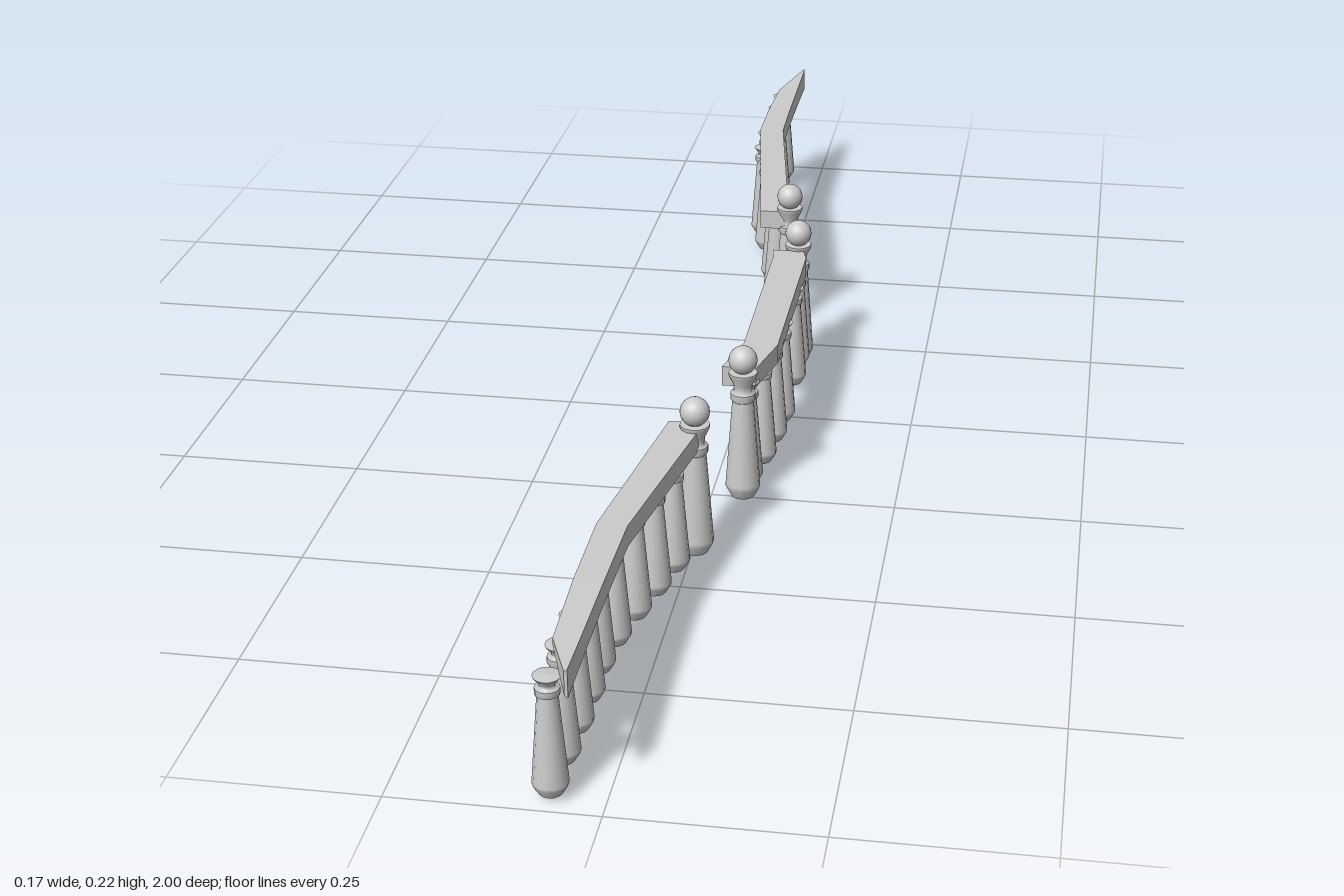
import * as THREE from 'three';

const material = new THREE.MeshStandardMaterial({ color: 0xcccccc, side: THREE.DoubleSide });
const SIDES = 14;

// Turned shapes as [radius, height]; doubled points keep edges crisp
function turned(points) {
  const p = points.map(([r, y]) => new THREE.Vector2(r, y));
  return new THREE.LatheGeometry(p, SIDES);
}
const lowerBody = [[0, 0.006], [0.014, 0.006], [0.014, 0.006], [0.021, 0.018], [0.021, 0.022]];
const balusterGeometry = turned([...lowerBody,
  [0.012, 0.134], [0.012, 0.134], [0.0145, 0.135], [0.0145, 0.143], [0.0145, 0.143],
  [0.009, 0.144], [0.010, 0.149], [0.0165, 0.158], [0.0165, 0.158], [0, 0.16]]);
const brokenGeometry = turned([...lowerBody, [0.0135, 0.118], [0.0135, 0.118], [0.008, 0.126], [0, 0.125]]);
const postGeometry = turned([[0, 0], [0.016, 0], [0.016, 0], [0.0235, 0.014], [0.0235, 0.02],
  [0.0145, 0.143], [0.0145, 0.143], [0.017, 0.146], [0.017, 0.155], [0.017, 0.155],
  [0.012, 0.157], [0.013, 0.167], [0.0195, 0.181], [0.0195, 0.185], [0.0195, 0.185], [0, 0.186]]);
const ballGeometry = new THREE.SphereGeometry(0.0195, 18, 12);

function add(parent, name, geometry, x, y, z) {
  const mesh = new THREE.Mesh(geometry, material);
  mesh.name = name;
  mesh.position.set(x, y, z);
  parent.add(mesh);
}

// Handrail lofted through four-cornered sections, listed from low z to high z
// section: [z, left x, right x, bottom left y, bottom right y, top right y, top left y]
function railGeometry(sections) {
  const rings = sections.map(([z, l, r, bl, br, tr, tl]) =>
    [[l, bl, z], [r, br, z], [r, tr, z], [l, tl, z]]);
  const out = [];
  const tri = (...corners) => corners.forEach((c) => out.push(...c));
  for (let s = 0; s < rings.length - 1; s++) {
    const a = rings[s], b = rings[s + 1];
    for (let i = 0; i < 4; i++) {
      const j = (i + 1) % 4;
      tri(a[i], a[j], b[j]);
      tri(a[i], b[j], b[i]);
    }
  }
  const first = rings[0], last = rings[rings.length - 1];
  tri(first[0], first[2], first[1]);
  tri(first[0], first[3], first[2]);
  tri(last[0], last[1], last[2]);
  tri(last[0], last[2], last[3]);
  const g = new THREE.BufferGeometry();
  g.setAttribute('position', new THREE.Float32BufferAttribute(out, 3));
  g.computeVertexNormals();
  return g;
}

const flat = (z, l, r) => [z, l, r, 0.152, 0.152, 0.18, 0.18];
const taper = (z) => [z, -0.068, -0.034, 0.164, 0.152, 0.183, 0.174];
const tip = (z) => [z, -0.038, -0.034, 0.152, 0.15, 0.186, 0.184];

// posts and balusters as [x, z]
const spans = [
  {
    name: 'frontSpan',
    rail: [flat(0.39, -0.032, 0.014), flat(0.67, -0.07, -0.032), flat(0.8, -0.07, -0.034), taper(0.92), tip(1)],
    posts: [[0.004, 0.403]],
    balusters: [[-0.015, 0.462], [-0.028, 0.524], [-0.042, 0.585], [-0.055, 0.65],
      [-0.062, 0.778], [-0.062, 0.842], [-0.064, 0.906], [-0.064, 0.97]],
    broken: [[-0.062, 0.714]],
  },
  {
    name: 'middleSpan',
    rail: [flat(-0.19, 0.022, 0.068), flat(-0.165, 0.026, 0.075), flat(0.14, 0.028, 0.075), flat(0.22, 0.01, 0.056)],
    posts: [[0.042, 0.242], [0.058, -0.206]],
    balusters: [[0.044, 0.213], [0.054, 0.149], [0.06, 0.082], [0.063, 0.018], [0.063, -0.105], [0.06, -0.17]],
    broken: [],
  },
  {
    name: 'rearSpan',
    rail: [tip(-1), taper(-0.92), flat(-0.8, -0.07, -0.034), flat(-0.7, -0.07, -0.032), flat(-0.34, -0.018, 0.026)],
    posts: [[0.026, -0.35]],
    balusters: [[-0.003, -0.421], [-0.016, -0.486], [-0.044, -0.609], [-0.06, -0.675],
      [-0.064, -0.745], [-0.064, -0.871], [-0.064, -0.933]],
    broken: [],
  },
];

export function createModel() {
  const model = new THREE.Group();
  model.name = 'balustrade';
  for (const span of spans) {
    const group = new THREE.Group();
    group.name = span.name;
    add(group, 'handrail', railGeometry(span.rail), 0, 0, 0);
    for (const [x, z] of span.balusters) add(group, 'baluster', balusterGeometry, x, 0, z);
    for (const [x, z] of span.broken) add(group, 'brokenBaluster', brokenGeometry, x, 0, z);
    for (const [x, z] of span.posts) {
      add(group, 'endPost', postGeometry, x, 0, z);
      add(group, 'postBall', ballGeometry, x, 0.2025, z);
    }
    model.add(group);
  }
  return model;
}
